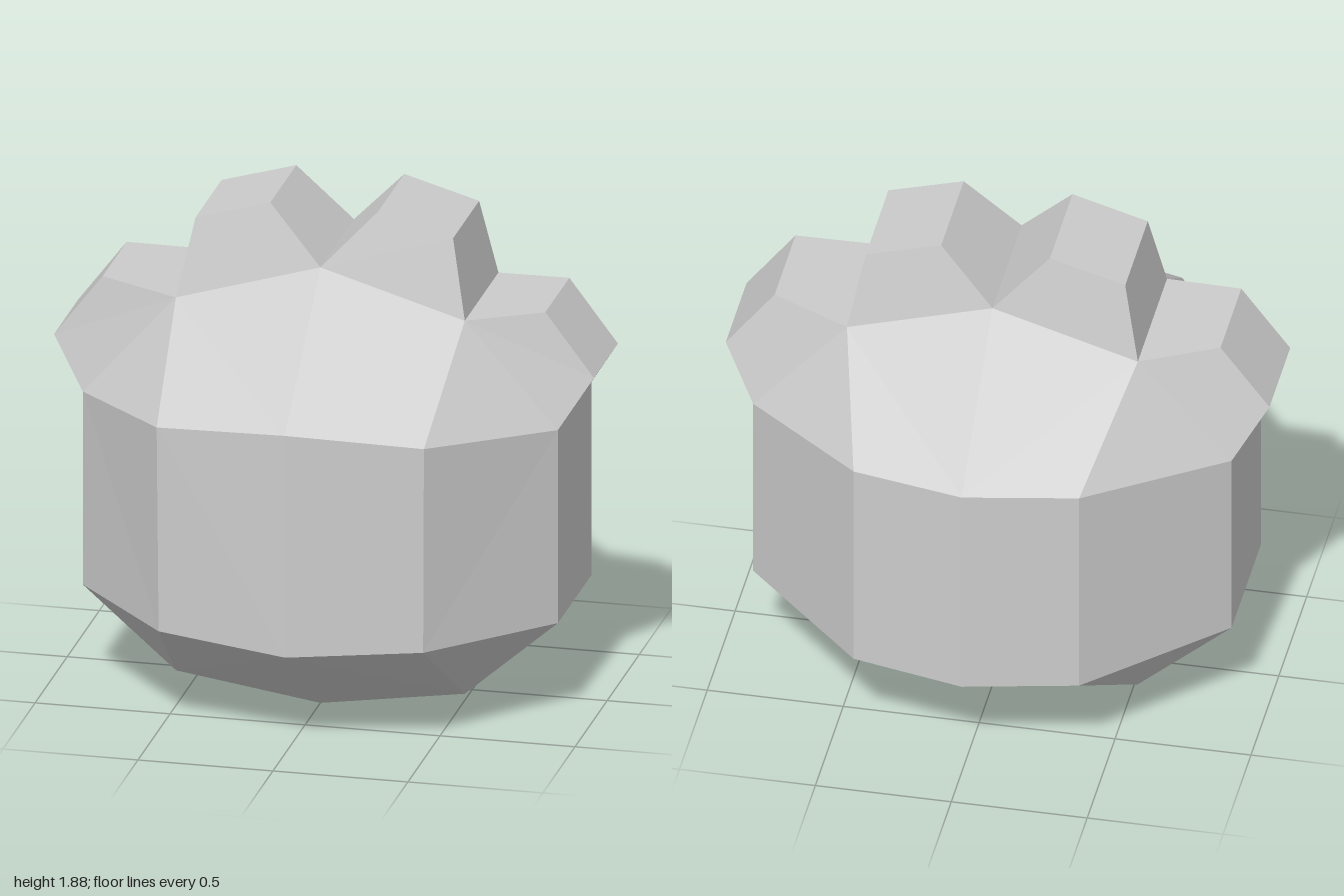
import * as THREE from 'three';

const stone = new THREE.MeshStandardMaterial({ color: 0xcccccc, flatShading: true });
stone.name = 'light grey';

// Build a flat-faced mesh; each face is turned to point away from the centre.
function facetedMesh(name, faces, centre) {
  const positions = [];
  for (const face of faces) {
    const p = face.map((c) => new THREE.Vector3(...c));
    for (let i = 1; i < p.length - 1; i++) {
      const tri = new THREE.Triangle(p[0], p[i], p[i + 1]);
      const out = tri.getMidpoint(new THREE.Vector3()).sub(centre);
      const outward = tri.getNormal(new THREE.Vector3()).dot(out) > 0;
      const order = outward ? [tri.a, tri.b, tri.c] : [tri.a, tri.c, tri.b];
      order.forEach((v) => positions.push(v.x, v.y, v.z));
    }
  }
  const geometry = new THREE.BufferGeometry();
  geometry.setAttribute('position', new THREE.Float32BufferAttribute(positions, 3));
  geometry.computeVertexNormals();
  const mesh = new THREE.Mesh(geometry, stone);
  mesh.name = name;
  return mesh;
}

// Half outline of the middle band, from bottom to top
const half = [[0, 0], [0.535, 0.08], [0.88, 0.38], [0.88, 1.12], [0.535, 1.51], [0, 1.67]];
const bandZ = 0.262;

// Corner points of the front and back caps
const caps = [
  { low: [0, 0.367, 0.81], lowSide: [0.49, 0.395, 0.72], highSide: [0.495, 1.18, 0.73], high: [0, 1.22, 0.817], z: bandZ },
  { low: [0, 0.38, -0.815], lowSide: [0.415, 0.385, -0.73], highSide: [0.415, 1.215, -0.73], high: [0, 1.22, -0.817], z: -bandZ },
];

function makeBody() {
  const faces = [];
  for (const s of [1, -1]) {
    const m = ([x, y, z]) => [s * x, y, z];
    // Bottom and side strips of the middle band
    for (let i = 0; i < 3; i++) {
      const [a, b] = [half[i], half[i + 1]];
      faces.push([[...a, bandZ], [...b, bandZ], [...b, -bandZ], [...a, -bandZ]].map(m));
    }
    // Front and back caps
    for (const { low, lowSide, highSide, high, z } of caps) {
      const r = half.map((p) => [...p, z]);
      faces.push(
        [low, lowSide, highSide, high].map(m),
        [lowSide, r[2], r[3], highSide].map(m),
        [high, highSide, r[4], r[5]].map(m),
        [highSide, r[3], r[4]].map(m),
        [low, lowSide, r[1], r[0]].map(m),
        [lowSide, r[2], r[1]].map(m),
      );
    }
  }
  return facetedMesh('body', faces, new THREE.Vector3(0, 0.83, 0));
}

// Tapered block standing on one upper strip of the middle band
function makeKnob(name, s, base, top, zFront, zBack) {
  const rect = ([a, b], z0, z1) =>
    [[...a, z0], [...b, z0], [...b, z1], [...a, z1]].map(([x, y, z]) => [s * x, y, z]);
  const lower = rect(base, bandZ, -bandZ);
  const upper = rect(top, zFront, zBack);
  const faces = [upper];
  for (let i = 0; i < 4; i++) {
    const j = (i + 1) % 4;
    faces.push([lower[i], lower[j], upper[j], upper[i]]);
  }
  const centre = new THREE.Vector3();
  [...lower, ...upper].forEach((p) => centre.add(new THREE.Vector3(...p)));
  return facetedMesh(name, faces, centre.divideScalar(8));
}

export function createModel() {
  const model = new THREE.Group();
  model.name = 'knobbedBoulder';
  model.add(makeBody());
  for (const [side, s] of [['left', 1], ['right', -1]]) {
    model.add(
      makeKnob(side + 'UpperKnob', s, [half[5], half[4]], [[0.2, 1.88], [0.477, 1.8]], 0.2, -0.205),
      makeKnob(side + 'OuterKnob', s, [half[4], half[3]], [[0.82, 1.547], [1, 1.31]], 0.205, -0.168),
    );
  }
  return model;
}
